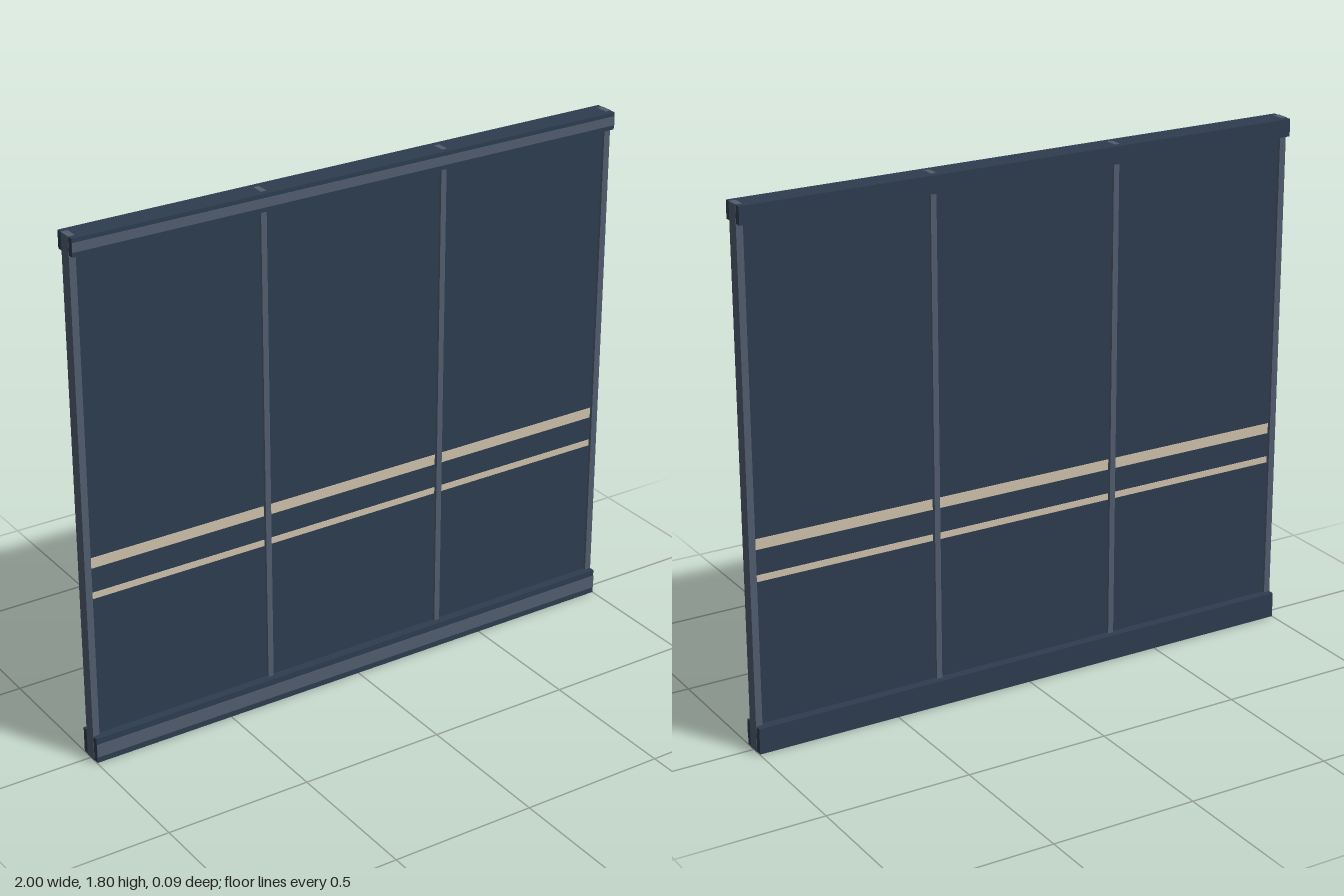
import * as THREE from 'three';

export function createModel() {
  const group = new THREE.Group();
  const make = (name, color) => {
    const m = new THREE.MeshStandardMaterial({ color });
    m.name = name;
    return m;
  };
  const navy = make('navy', 0x2e3d50);
  const slate = make('slate grey', 0x525d6f);
  const cream = make('cream', 0xd0c1ab);

  // Box given by its extents on each axis
  const box = (name, mat, [x0, x1], [y0, y1], [z0, z1]) => {
    const mesh = new THREE.Mesh(new THREE.BoxGeometry(x1 - x0, y1 - y0, z1 - z0), mat);
    mesh.position.set((x0 + x1) / 2, (y0 + y1) / 2, (z0 + z1) / 2);
    mesh.name = name;
    group.add(mesh);
  };

  // Top and bottom rails, each with a grey inlay on the front
  const rails = [
    ['topRail', [1.74, 1.799], [1.755, 1.785]],
    ['bottomRail', [0.001, 0.09], [0.022, 0.068]],
  ];
  for (const [name, y, inlayY] of rails) {
    box(name, navy, [-0.999, 0.999], y, [-0.044, 0.042]);
    box(name + 'Inlay', slate, [-0.999, 0.999], inlayY, [0.041, 0.044]);
  }

  // Upright posts, their ends showing flush in the rails
  const posts = [[-1, -0.977], [-0.344, -0.324], [0.324, 0.344], [0.977, 1]];
  for (const x of posts) box('post', slate, x, [0, 1.8], [-0.022, 0.022]);

  // Panels between posts, with two stripes on both sides
  for (let i = 0; i < 3; i++) {
    const x0 = posts[i][1], x1 = posts[i + 1][0];
    box('panel', navy, [x0, x1], [0.08, 1.75], [-0.012, 0.012]);
    for (const y of [[0.688, 0.724], [0.58, 0.602]]) {
      for (const z of [[0.011, 0.014], [-0.014, -0.011]]) {
        box('stripe', cream, [x0 + 0.003, x1 - 0.003], y, z);
      }
    }
  }
  return group;
}
